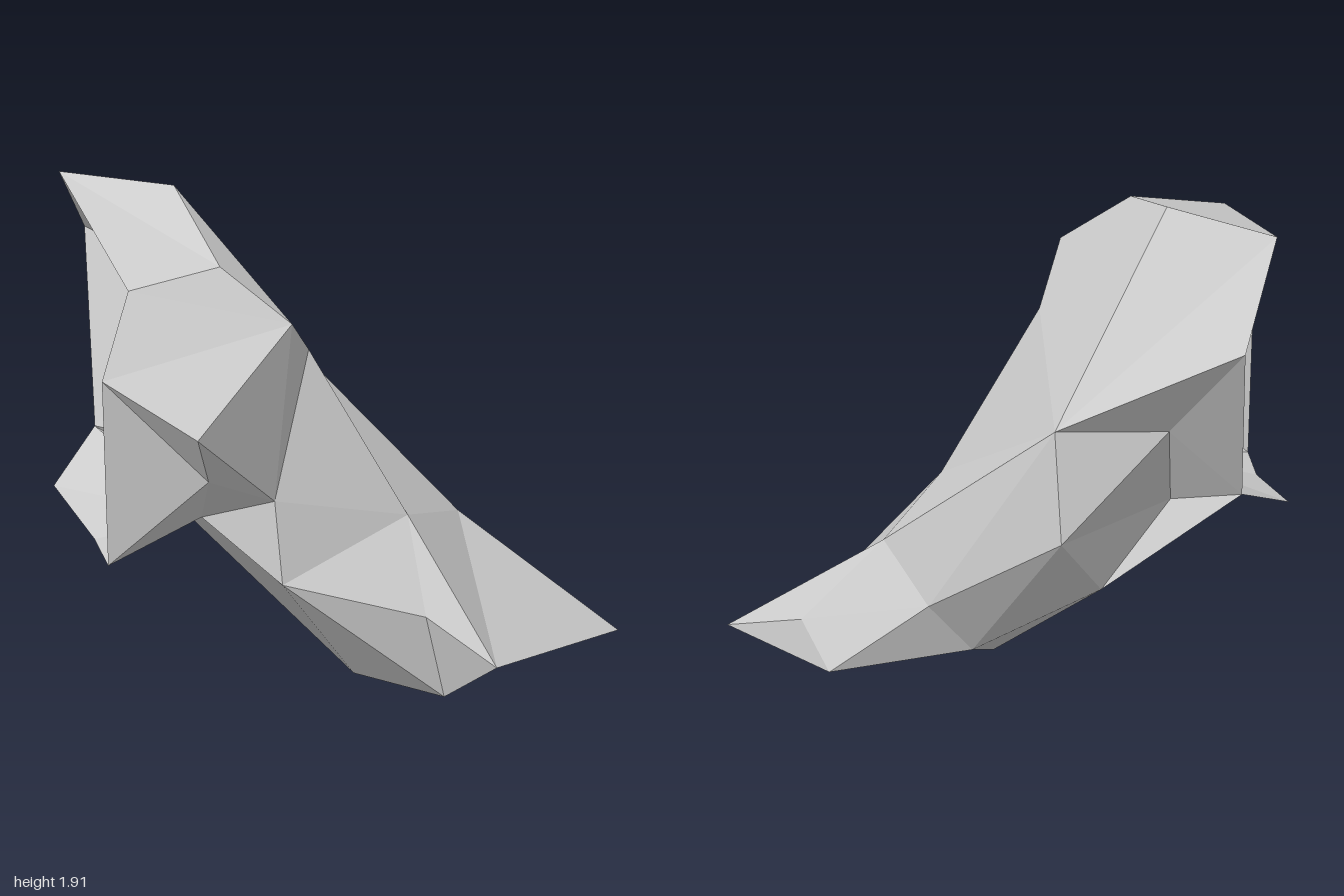
import * as THREE from 'three';

// Corner points of the faceted shell, grouped by region
const crown = {
  peak: [-0.39, 1.915, -0.305], crest: [-0.67, 1.88, -0.69], temple: [-0.81, 1.73, 0.08],
  brow: [-0.46, 1.785, 0.168], cheek: [-1, 1.45, 0.212], bridge: [-0.26, 1.58, 0.368],
  nape: [-0.44, 1.51, -0.897], shoulder: [0.14, 1.133, -0.435],
};
const hook = {
  snout: [-0.75, 1.262, 0.505], lip: [-0.615, 0.995, 0.352], throat: [-0.32, 0.84, 0.34],
  tip: [-0.96, 0.66, 0.19], tipBack: [-0.888, 0.66, -0.04], heel: [-0.83, 0.7, -0.45],
  hinge: [-0.565, 0.825, -0.6], floor: [-0.53, 0.745, 0.15],
};
const trunk = {
  chest: [-0.1, 1.373, 0.215], waist: [-0.32, 0.513, 0.4], belly: [0.214, 0.69, 0.42],
  hip: [0.552, 0.543, 0.212], spine: [-0.275, 1.115, -0.57], rump: [0.145, 0.7, -0.505],
  rumpLow: [-0.075, 0.447, -0.39], inner: [-0.35, 0.78, -0.42],
};
const foot = {
  shin: [0.17, 0.36, 0.636], toe: [0.333, 0.214, 0.89], soleBack: [0.064, 0, 0.27],
  soleFront: [0.257, 0, 0.622], point: [0.997, 0.118, 0.655], under: [0.82, 0.08, 0.124],
  ankle: [0.855, 0.24, 0.297], arch: [0.295, 0.14, -0.032], calf: [0.48, 0.345, -0.035],
};
const P = { ...crown, ...hook, ...trunk, ...foot };

// Each panel is a fan of triangles around its first corner
function shell(name, panels, material) {
  const pos = [];
  for (const panel of panels) {
    const c = panel.split(' ').map((k) => P[k]);
    for (let i = 1; i < c.length - 1; i++) pos.push(...c[0], ...c[i], ...c[i + 1]);
  }
  const geo = new THREE.BufferGeometry();
  geo.setAttribute('position', new THREE.Float32BufferAttribute(pos, 3));
  geo.computeVertexNormals();
  const mesh = new THREE.Mesh(geo, material);
  mesh.name = name;
  return mesh;
}

export function createModel() {
  const stone = new THREE.MeshStandardMaterial({ color: 0xcccccc, side: THREE.DoubleSide, flatShading: true });
  stone.name = 'pale grey';
  const model = new THREE.Group();
  model.name = 'facetedShell';

  model.add(
    // Rounded top, open towards the back
    shell('crown', [
      'brow peak crest temple',
      'bridge brow temple cheek',
      'peak brow bridge',
      'shoulder nape crest peak',
      'peak bridge chest',
      'peak chest shoulder',
    ], stone),
    // Overhanging hook with its floor
    shell('hook', [
      'cheek snout bridge',
      'snout throat bridge',
      'cheek lip snout',
      'snout lip throat',
      'cheek tip lip',
      'lip tip floor throat',
      'floor tip tipBack heel hinge',
    ], stone),
    // Slanting front of the trunk
    shell('trunkFront', [
      'bridge throat chest',
      'chest throat belly',
      'throat waist belly',
      'throat floor waist',
      'chest belly shoulder',
      'shoulder belly hip',
    ], stone),
    // Back and underside of the trunk
    shell('trunkBack', [
      'spine nape shoulder',
      'spine hinge nape',
      'spine inner hinge',
      'spine shoulder rump',
      'rump inner spine',
      'rump rumpLow inner',
      'rumpLow hinge inner',
      'rumpLow soleBack hinge',
      'waist hinge soleBack',
      'waist floor hinge',
      'shoulder hip calf rump',
      'rump calf arch rumpLow',
      'rumpLow arch soleBack',
    ], stone),
    // Flared foot, open underneath
    shell('foot', [
      'belly waist shin',
      'belly shin toe',
      'belly toe hip',
      'hip toe point',
      'shin waist soleFront toe',
      'waist soleBack soleFront',
      'hip point ankle',
      'hip ankle calf',
      'ankle point under',
      'ankle under calf',
      'calf under arch',
    ], stone),
  );
  return model;
}
